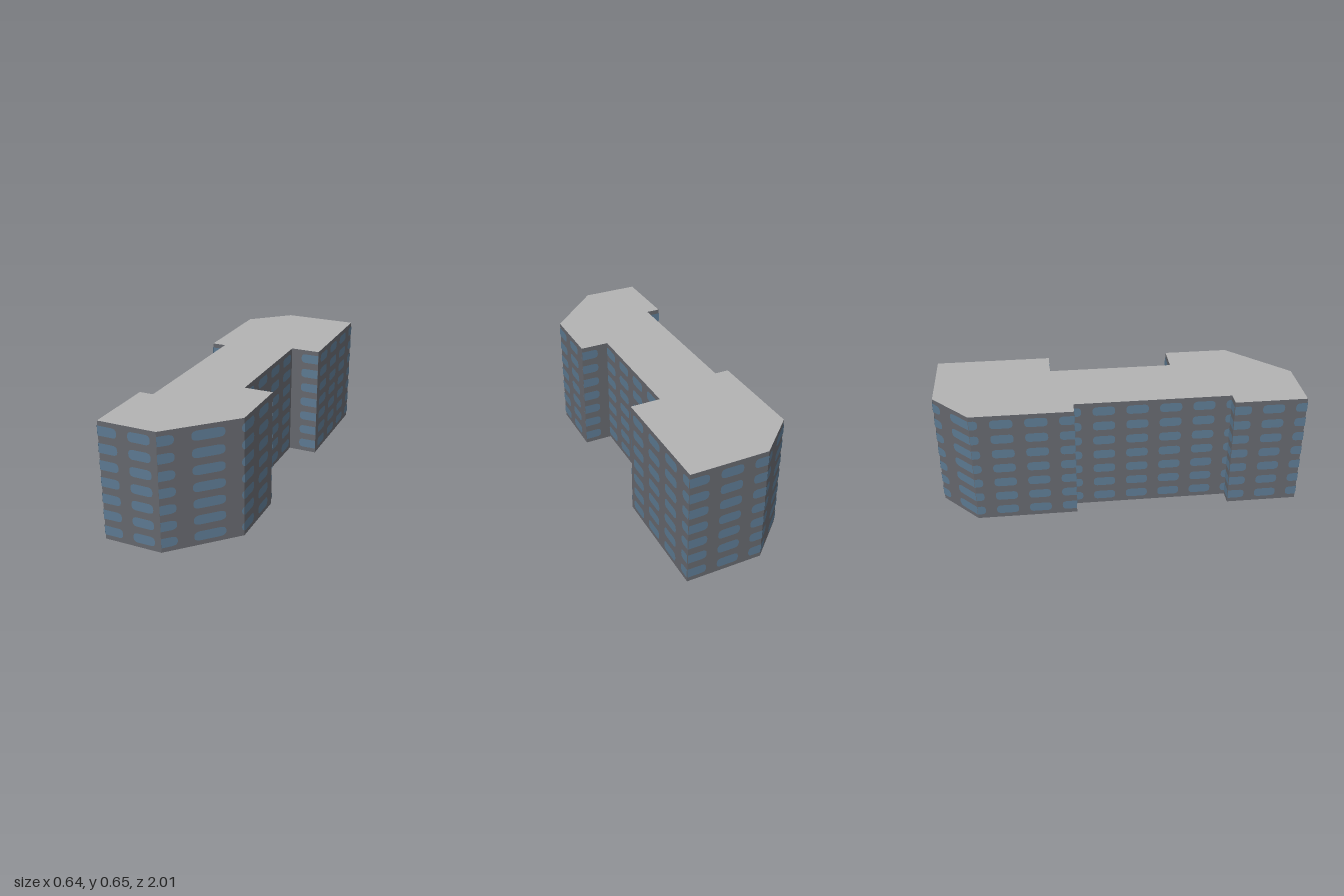
import * as THREE from 'three';

const HEIGHT = 0.652;
const PITCH = 2 / 11;        // spacing of window columns
const ROWS = 7, ROW0 = 0.053, ROW_STEP = 0.0914;
const HALF_W = 0.0605, HALF_H = 0.0262, CORNER = 0.02;

// Footprint corners as [x, z], walked from the back round the left side
const footprint = [
  [-0.105, -1], [0.315, -1], [0.315, -0.36], [0.15, -0.36], [0.15, 0.33],
  [0.308, 0.33], [0.308, 0.687], [0.002, 1], [-0.317, 1], [-0.317, 0.605],
  [-0.24, 0.605], [-0.24, -0.253], [-0.317, -0.253], [-0.317, -0.803],
];

function material(name, color) {
  const m = new THREE.MeshStandardMaterial({ color, side: THREE.DoubleSide });
  m.name = name;
  return m;
}

// Add a convex polygon as a triangle fan
function addFan(out, points) {
  for (let i = 1; i < points.length - 1; i++) {
    out.push(...points[0], ...points[i], ...points[i + 1]);
  }
}

function meshFrom(positions, mat, name) {
  const geometry = new THREE.BufferGeometry();
  geometry.setAttribute('position', new THREE.Float32BufferAttribute(positions, 3));
  geometry.computeVertexNormals();
  const mesh = new THREE.Mesh(geometry, mat);
  mesh.name = name;
  return mesh;
}

// Half height of a rounded window at distance d from its centre
function halfHeight(d) {
  const k = Math.max(0, Math.abs(d) - (HALF_W - CORNER));
  return HALF_H - CORNER + Math.sqrt(Math.max(0, CORNER * CORNER - k * k));
}

export function createModel() {
  const wallMat = material('wall grey', 0x64666c);
  const windowMat = material('window blue', 0x5b7890);
  const roofMat = material('roof grey', 0xb2b2b2);
  const group = new THREE.Group();
  group.name = 'building';

  const walls = [], windows = [];
  footprint.forEach((a, i) => {
    const b = footprint[(i + 1) % footprint.length];
    const dx = b[0] - a[0], dz = b[1] - a[1], len = Math.hypot(dx, dz);
    const normal = [dz / len, -dx / len];

    // Wall panel
    addFan(walls, [
      [a[0], 0, a[1]], [a[0], HEIGHT, a[1]], [b[0], HEIGHT, b[1]], [b[0], 0, b[1]],
    ]);

    // Window columns follow one grid along the wall's longer axis
    const axis = Math.abs(dx) > Math.abs(dz) ? 0 : 1;
    const phase = axis === 0 ? PITCH / 2 : 1;
    const lo = Math.min(a[axis], b[axis]), hi = Math.max(a[axis], b[axis]);
    const first = Math.ceil((lo - HALF_W - phase) / PITCH);
    const last = Math.floor((hi + HALF_W - phase) / PITCH);
    for (let c = first; c <= last; c++) {
      const centre = phase + c * PITCH;
      const from = Math.max(lo, centre - HALF_W), to = Math.min(hi, centre + HALF_W);
      if (to - from < 0.002) continue;
      const inner = [-0.0575, -0.052, -0.0405, 0.0405, 0.052, 0.0575]
        .map((d) => centre + d).filter((s) => s > from && s < to);
      const stops = [from, ...inner, to];
      if (b[axis] < a[axis]) stops.reverse();

      for (let r = 0; r < ROWS; r++) {
        const y = ROW0 + r * ROW_STEP;
        // One pane on the outer face and one on the inner face
        for (const offset of [0.003, -0.003]) {
          const point = (s, sign) => {
            const t = (s - a[axis]) / (b[axis] - a[axis]);
            return [
              a[0] + dx * t + normal[0] * offset,
              y + sign * halfHeight(s - centre),
              a[1] + dz * t + normal[1] * offset,
            ];
          };
          const outline = [
            ...stops.map((s) => point(s, 1)),
            ...[...stops].reverse().map((s) => point(s, -1)),
          ];
          addFan(windows, offset > 0 ? outline : outline.reverse());
        }
      }
    }
  });
  group.add(meshFrom(walls, wallMat, 'walls'));
  group.add(meshFrom(windows, windowMat, 'windows'));

  // Flat roof; the base is open
  const shape = new THREE.Shape(footprint.map(([x, z]) => new THREE.Vector2(x, -z)));
  const roof = new THREE.Mesh(new THREE.ShapeGeometry(shape), roofMat);
  roof.name = 'roof';
  roof.rotation.x = -Math.PI / 2;
  roof.position.y = HEIGHT;
  group.add(roof);

  return group;
}
